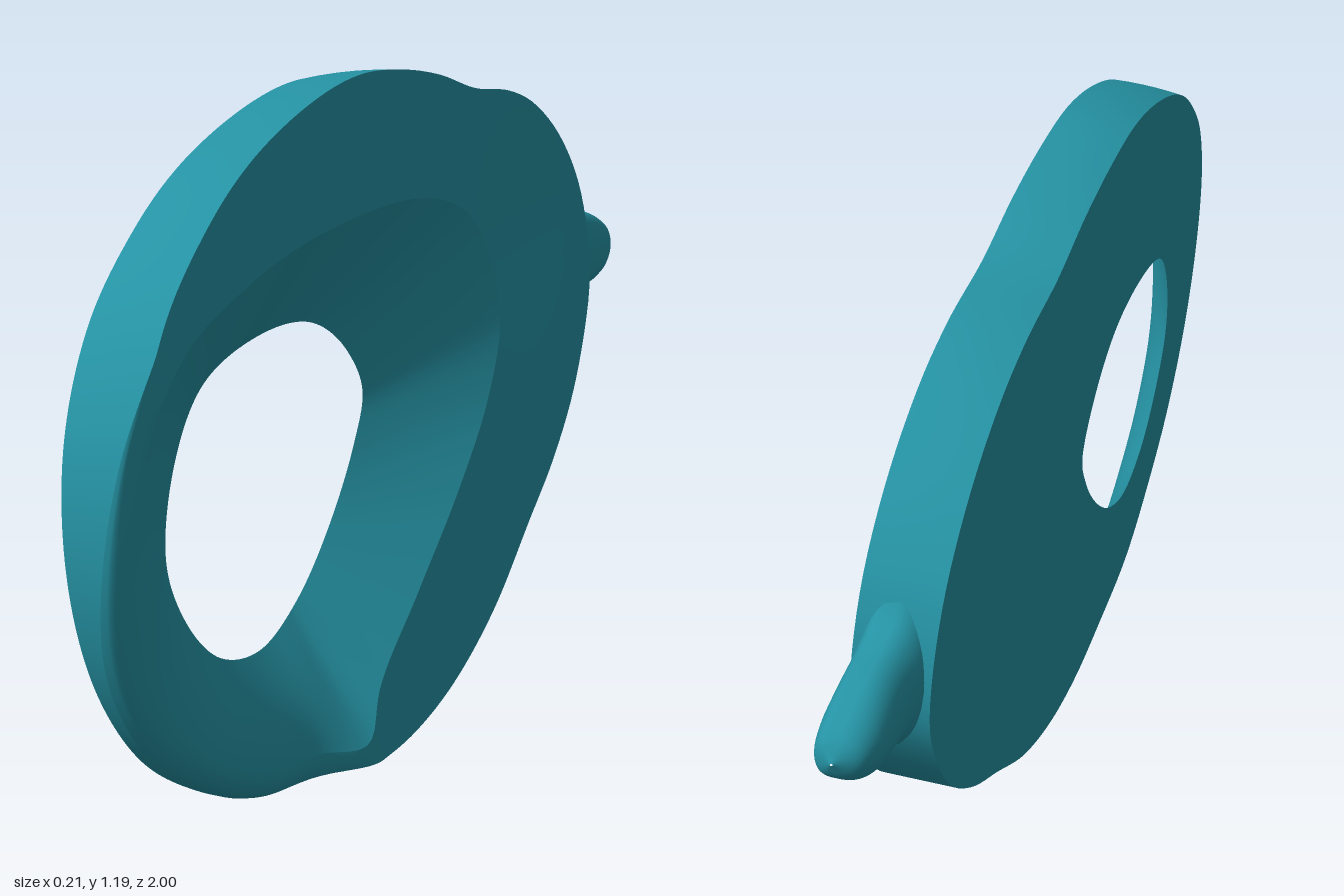
import * as THREE from 'three';

const SPOKES = 260;
const CENTRE = [0.42, 0.53]; // z, y of the middle of the opening

// Closed curve through [z, y, height] points, looked up by angle around CENTRE
function polar(points) {
  const curve = new THREE.CatmullRomCurve3(
    points.map(([z, y, h = 0]) => new THREE.Vector3(z, y, h)), true, 'centripetal');
  const samples = curve.getPoints(900).slice(0, -1).map((p) => {
    const dz = p.x - CENTRE[0], dy = p.y - CENTRE[1];
    return { a: (Math.atan2(dy, dz) + Math.PI * 2) % (Math.PI * 2), r: Math.hypot(dz, dy), h: p.z };
  }).sort((p, q) => p.a - q.a);
  const n = samples.length;
  return (a) => {
    let i = samples.findIndex((s) => s.a > a);
    if (i < 0) i = n;
    const p = samples[(i + n - 1) % n], q = samples[i % n];
    const pa = i === 0 ? p.a - Math.PI * 2 : p.a;
    const qa = i === n ? q.a + Math.PI * 2 : q.a;
    const k = (a - pa) / Math.max(qa - pa, 1e-6);
    return { r: p.r + (q.r - p.r) * k, h: p.h + (q.h - p.h) * k };
  };
}

// Smooth skin over a list of closed rings
function skin(rings) {
  const n = rings[0].length, index = [];
  for (let j = 0; j < rings.length - 1; j++) {
    for (let i = 0; i < n; i++) {
      const a = j * n + i, d = j * n + (i + 1) % n;
      index.push(a, d + n, a + n, a, d, d + n);
    }
  }
  const g = new THREE.BufferGeometry();
  g.setAttribute('position', new THREE.Float32BufferAttribute(rings.flat(2), 3));
  g.setIndex(index);
  g.computeVertexNormals();
  return g;
}

const outline = polar([
  [1, 0.6], [0.97, 0.78], [0.88, 0.93], [0.74, 1.04], [0.6, 1.11], [0.4, 1.165], [0.22, 1.185],
  [0.05, 1.17], [-0.1, 1.14], [-0.25, 1.095], [-0.42, 1.065], [-0.55, 1.018], [-0.68, 0.93],
  [-0.77, 0.82], [-0.81, 0.7], [-0.81, 0.6], [-0.77, 0.51], [-0.68, 0.39], [-0.55, 0.285],
  [-0.4, 0.2], [-0.2, 0.09], [0, 0.025], [0.18, 0.004], [0.35, 0.015], [0.58, 0.05],
  [0.75, 0.145], [0.88, 0.26], [0.97, 0.42]]);

const opening = polar([
  [0.745, 0.52], [0.7, 0.65], [0.6, 0.75], [0.41, 0.785], [0.22, 0.76], [0.1, 0.68], [0.05, 0.59],
  [0.1, 0.505], [0.22, 0.39], [0.355, 0.305], [0.49, 0.27], [0.62, 0.31], [0.71, 0.41]]);

// Upper edge of the scoop, with the plate thickness there
const T = 0.125;
const crease = polar([
  [0.96, 0.6, 0.085], [0.94, 0.74, 0.105], [0.86, 0.86, T], [0.62, 0.935, T], [0.3, 0.96, T],
  [-0.02, 0.935, T], [-0.2, 0.865, T], [-0.295, 0.75, T], [-0.31, 0.64, T], [-0.23, 0.51, T],
  [-0.07, 0.38, T], [0.14, 0.25, T], [0.31, 0.145, T], [0.36, 0.06, 0.12], [0.45, 0.075, 0.075],
  [0.56, 0.095, 0.06], [0.72, 0.175, 0.06], [0.84, 0.29, 0.06], [0.92, 0.44, 0.065]]);

// Leaning plate: point at height t above the back face
function place(a, r, t, inset = 0) {
  const z = CENTRE[0] + r * Math.cos(a);
  let y = CENTRE[1] + r * Math.sin(a);
  const x = -0.02 - 0.0727 * y;
  y -= 0.015 * Math.max(0, (y - 0.6) / 0.6) * inset;
  return [x + t, y + 0.07 * t - 0.004 * Math.min(1, t / T), z];
}

// Shallow thumb dent near the tab
function dent(a, r) {
  const d = Math.hypot(CENTRE[0] + r * Math.cos(a) + 0.45, CENTRE[1] + r * Math.sin(a) - 0.79) / 0.23;
  return d < 1 ? 0.008 * (1 - d * d) : 0;
}

function plateGeometries() {
  const spokes = Array.from({ length: SPOKES }, (_, i) => {
    const a = (i / SPOKES) * Math.PI * 2;
    const out = outline(a).r, hole = opening(a).r, c = crease(a);
    const h = Math.min(T, c.h);
    return { a, out, hole, h, edge: h - (T - h) * 0.6, mid: Math.min(c.r, out * 0.985) };
  });
  const strip = (rows, point) => skin(Array.from({ length: rows + 1 },
    (_, j) => spokes.map((s) => point(s, j / rows))));
  return {
    scoop: strip(12, (s, k) => {
      const r = s.hole + (s.mid - s.hole) * k;
      const crown = Math.sin(k * Math.PI / 2);
      const round = (T - s.h) / 0.065;
      return place(s.a, r, s.h * (k + (crown - k) * round) - dent(s.a, r) * k);
    }),
    frontFace: strip(18, (s, k) => {
      const r = s.mid + (s.out - s.mid) * k;
      return place(s.a, r, s.edge + (s.h - s.edge) * Math.sqrt(1 - k * k) - dent(s.a, r));
    }),
    outerEdge: strip(5, (s, k) => place(s.a, s.out, (s.edge - dent(s.a, s.out)) * (1 - k), k * k)),
    backFace: strip(4, (s, k) => place(s.a, s.out + (s.hole - s.out) * k, 0, 1 - k)),
  };
}

// Rounded tab with a flatter front, lofted towards the rear
function tabGeometry() {
  const spline = (pts) => new THREE.CatmullRomCurve3(pts.map((p) => new THREE.Vector3(...p)));
  const heights = spline([[-0.76, 0.5, 0.83], [-0.8, 0.555, 0.775], [-0.84, 0.578, 0.752],
    [-0.9, 0.583, 0.735], [-0.95, 0.597, 0.712], [-0.982, 0.622, 0.69], [-1, 0.656, 0.66]]);
  const depths = spline([[-0.76, -0.062, 0.052], [-0.8, -0.06, 0.052], [-0.84, -0.052, 0.053],
    [-0.9, -0.048, 0.054], [-0.95, -0.042, 0.054], [-0.982, -0.026, 0.046], [-1, 0.012, 0.016]]);
  const rings = [];
  for (let j = 0; j <= 40; j++) {
    const p = heights.getPoint(j / 40), q = depths.getPoint(j / 40);
    rings.push(Array.from({ length: 40 }, (_, i) => {
      const a = -(i / 40) * Math.PI * 2, c = Math.cos(a);
      const y = (p.y + p.z) / 2 + Math.sin(a) * (p.z - p.y) / 2;
      const side = c > 0 ? Math.pow(c, 0.5) : c;
      return [(q.y + q.z) / 2 + side * (q.z - q.y) / 2 - 0.07 * (y - 0.66), y, p.x];
    }));
  }
  return skin(rings);
}

export function createModel() {
  const group = new THREE.Group();
  group.name = 'scoopedPlate';
  const teal = new THREE.MeshStandardMaterial({ color: 0x2592a3 });
  teal.name = 'teal';
  const parts = { ...plateGeometries(), tab: tabGeometry() };
  for (const [name, geometry] of Object.entries(parts)) {
    const mesh = new THREE.Mesh(geometry, teal);
    mesh.name = name;
    group.add(mesh);
  }
  return group;
}
